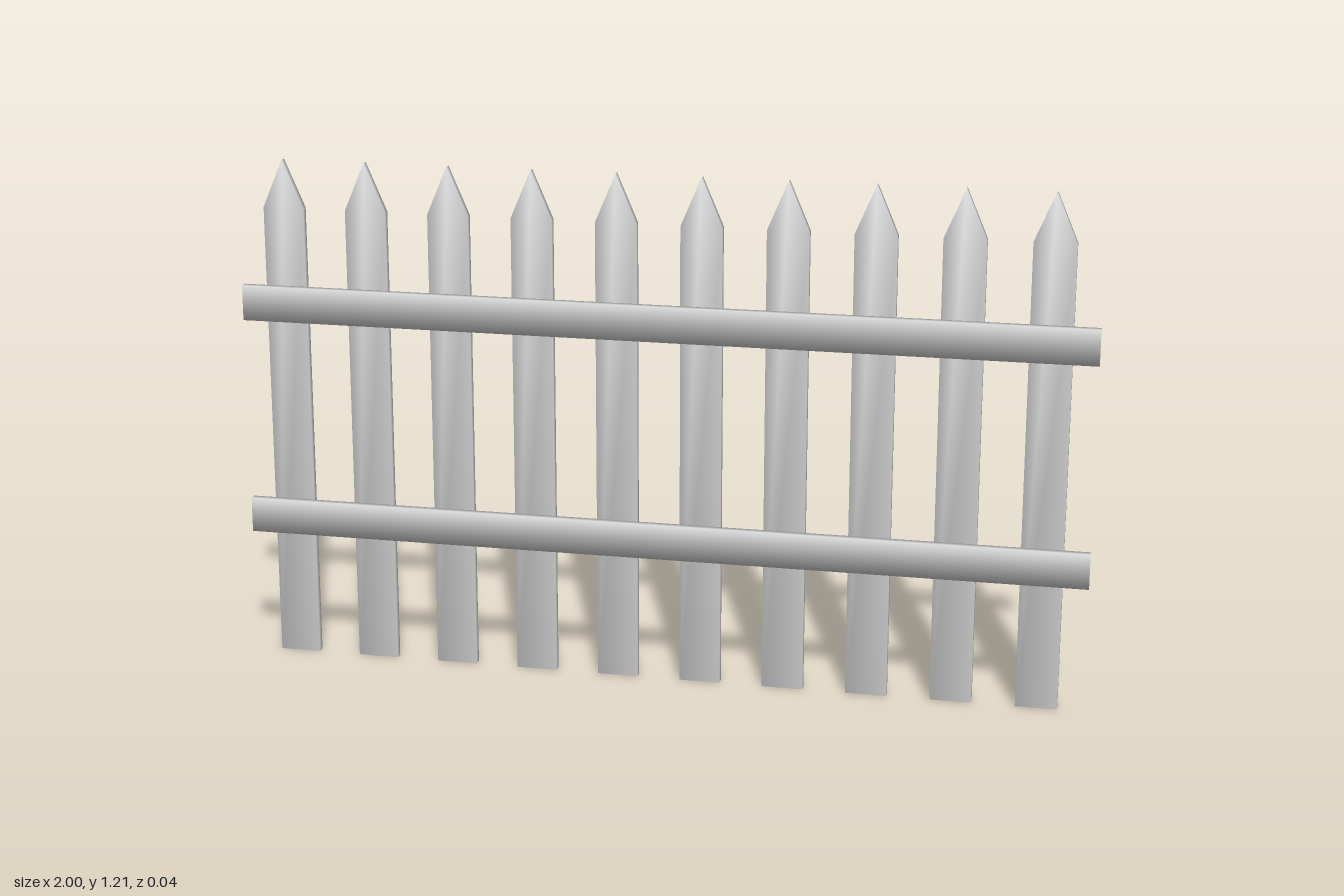
import * as THREE from 'three';

const material = new THREE.MeshStandardMaterial({ color: 0xcccccc });

// Thin board from a convex counter-clockwise outline, with soft shared normals.
// Edges listed in openEdges get no wall (edge i runs from point i to i + 1).
function boardGeometry(outline, z0, z1, openEdges) {
  const n = outline.length;
  const position = [], normal = [], index = [];
  const wallNormal = (i) => {
    const [ax, ay] = outline[i], [bx, by] = outline[(i + 1) % n];
    return openEdges.includes(i)
      ? new THREE.Vector2()
      : new THREE.Vector2(by - ay, ax - bx).normalize();
  };
  // Vertex 2i is on the front, 2i + 1 on the back
  outline.forEach(([x, y], i) => {
    const side = wallNormal(i).add(wallNormal((i + n - 1) % n)).normalize();
    for (const [z, nz] of [[z1, 1], [z0, -1]]) {
      position.push(x, y, z);
      normal.push(...new THREE.Vector3(side.x, side.y, nz).normalize().toArray());
    }
  });
  // Front and back faces
  for (let i = 1; i < n - 1; i++) {
    index.push(0, 2 * i, 2 * i + 2);
    index.push(1, 2 * i + 3, 2 * i + 1);
  }
  // Edge walls
  for (let i = 0; i < n; i++) {
    if (openEdges.includes(i)) continue;
    const a = 2 * i, b = 2 * ((i + 1) % n);
    index.push(a, a + 1, b + 1, a, b + 1, b);
  }
  const geometry = new THREE.BufferGeometry();
  geometry.setAttribute('position', new THREE.Float32BufferAttribute(position, 3));
  geometry.setAttribute('normal', new THREE.Float32BufferAttribute(normal, 3));
  geometry.setIndex(index);
  return geometry;
}

export function createModel() {
  const fence = new THREE.Group();
  fence.name = 'picketFence';
  const thickness = 0.018;

  // Pointed pickets behind the rails, open at the foot
  const w = 0.0485, shoulder = 1.1, tip = 1.214;
  const picketGeometry = boardGeometry(
    [[-w, 0], [w, 0], [w, shoulder], [0, tip], [-w, shoulder]], -thickness, 0, [0]);
  const count = 10, spacing = 0.1985;
  for (let i = 0; i < count; i++) {
    const picket = new THREE.Mesh(picketGeometry, material);
    picket.name = `picket${i + 1}`;
    picket.position.x = (i - (count - 1) / 2) * spacing - 0.003;
    fence.add(picket);
  }

  // Two horizontal rails on the front, open at both ends
  const h = 0.042;
  const railGeometry = boardGeometry(
    [[-1, -h], [1, -h], [1, h], [-1, h]], 0, thickness, [1, 3]);
  for (const [name, y] of [['lowerRail', 0.347], ['upperRail', 0.872]]) {
    const rail = new THREE.Mesh(railGeometry, material);
    rail.name = name;
    rail.position.y = y;
    fence.add(rail);
  }
  return fence;
}
